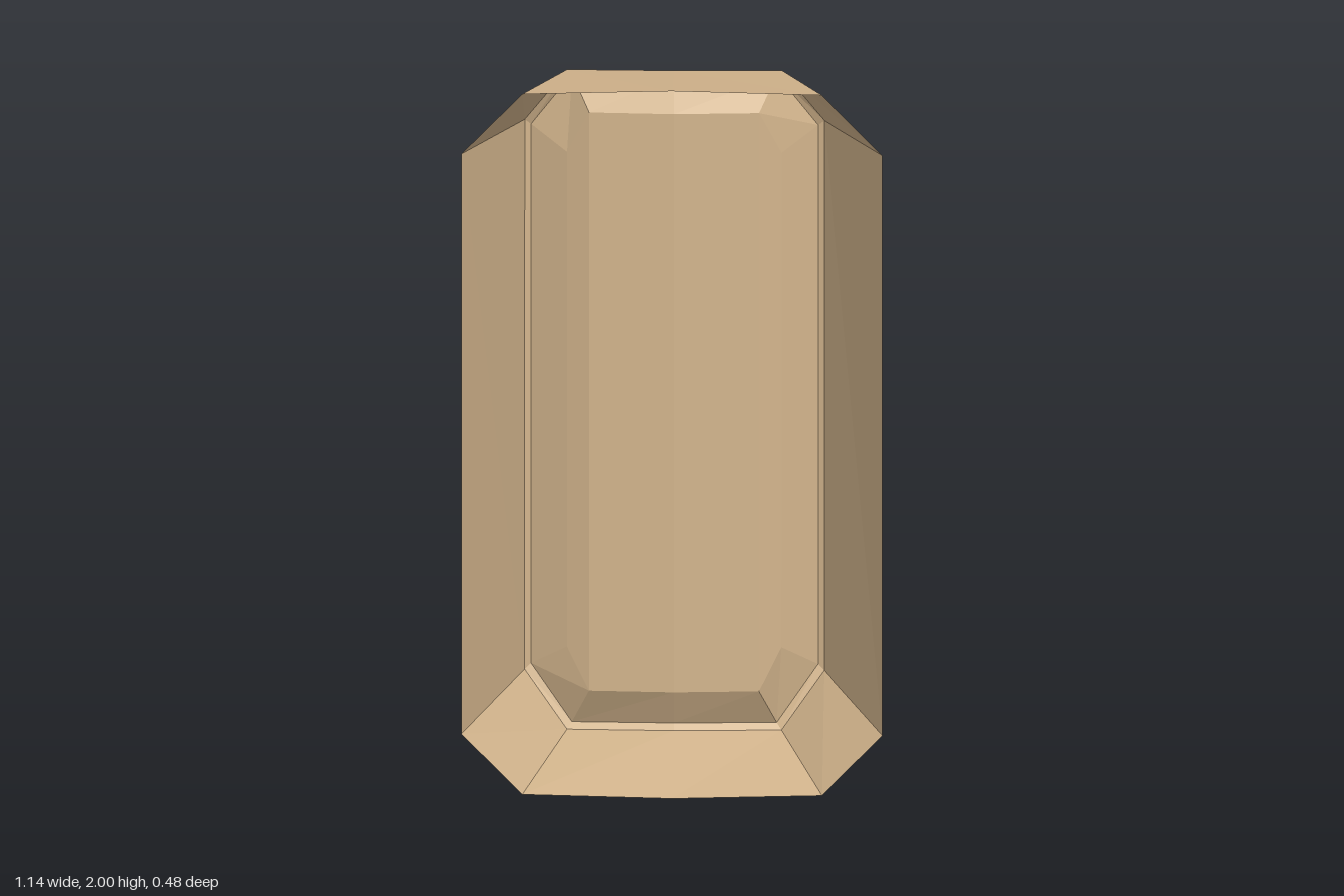
import * as THREE from 'three';

// Each ring: side x, side y pair, corner x, corner y pair, centre y pair,
// and depth z at side, corner and centre; lean tilts the ring with height.
const RINGS = {
  mouth: { sx: 0.57, sy: [0.18, 1.82], cx: 0.405, cy: [0.01, 1.99], my: [0, 2], z: [0.24, 0.24, 0.24], lean: 0 },
  heel: { sx: 0.405, sy: [0.23, 1.775], cx: 0.29, cy: [0.073, 1.927], my: [0.077, 1.932], z: [-0.218, -0.18, -0.157], lean: 0.02 },
  lip: { sx: 0.388, sy: [0.245, 1.76], cx: 0.277, cy: [0.09, 1.91], my: [0.094, 1.915], z: [-0.226, -0.194, -0.172], lean: 0.02 },
  dish: { sx: 0.29, sy: [0.31, 1.70], cx: 0.23, cy: [0.195, 1.82], my: [0.195, 1.82], z: [-0.165, -0.135, -0.122], lean: 0.02 },
};

// Ten points, counter-clockwise seen from the front, starting low on the +x side
function ringPoints({ sx, sy, cx, cy, my, z, lean }) {
  const p = (x, y, depth) => new THREE.Vector3(x, y, depth - lean * (y - 1));
  return [
    p(sx, sy[0], z[0]), p(sx, sy[1], z[0]),
    p(cx, cy[1], z[1]), p(0, my[1], z[2]), p(-cx, cy[1], z[1]),
    p(-sx, sy[1], z[0]), p(-sx, sy[0], z[0]),
    p(-cx, cy[0], z[1]), p(0, my[0], z[2]), p(cx, cy[0], z[1]),
  ];
}

const quad = (a, b, c, d) => [a, b, c, a, c, d];

// Band of quads joining two rings
function band(front, back) {
  return front.flatMap((f, i) => {
    const j = (i + 1) % front.length;
    return quad(f, back[i], back[j], front[j]);
  });
}

// Vertical strips closing the dish, facing the back
function floorStrips(r) {
  return [
    ...quad(r[0], r[9], r[2], r[1]),
    ...quad(r[9], r[8], r[3], r[2]),
    ...quad(r[8], r[7], r[4], r[3]),
    ...quad(r[7], r[6], r[5], r[4]),
  ];
}

export function createModel() {
  const group = new THREE.Group();
  group.name = 'hollowCasing';
  const material = new THREE.MeshStandardMaterial({
    color: 0xd2b48c, flatShading: true, side: THREE.DoubleSide,
  });
  const add = (name, points) => {
    const geometry = new THREE.BufferGeometry().setFromPoints(points);
    geometry.computeVertexNormals();
    const mesh = new THREE.Mesh(geometry, material);
    mesh.name = name;
    group.add(mesh);
  };

  const [mouth, heel, lip, dish] = Object.values(RINGS).map(ringPoints);

  // Tapered walls, open at the front
  add('outerWalls', band(mouth, heel));
  // Narrow bevel around the back edge
  add('backBevel', band(heel, lip));
  // Sloping sides of the recess in the back
  add('recessSides', band(lip, dish));
  // Recessed panel
  add('backPanel', floorStrips(dish));

  return group;
}
